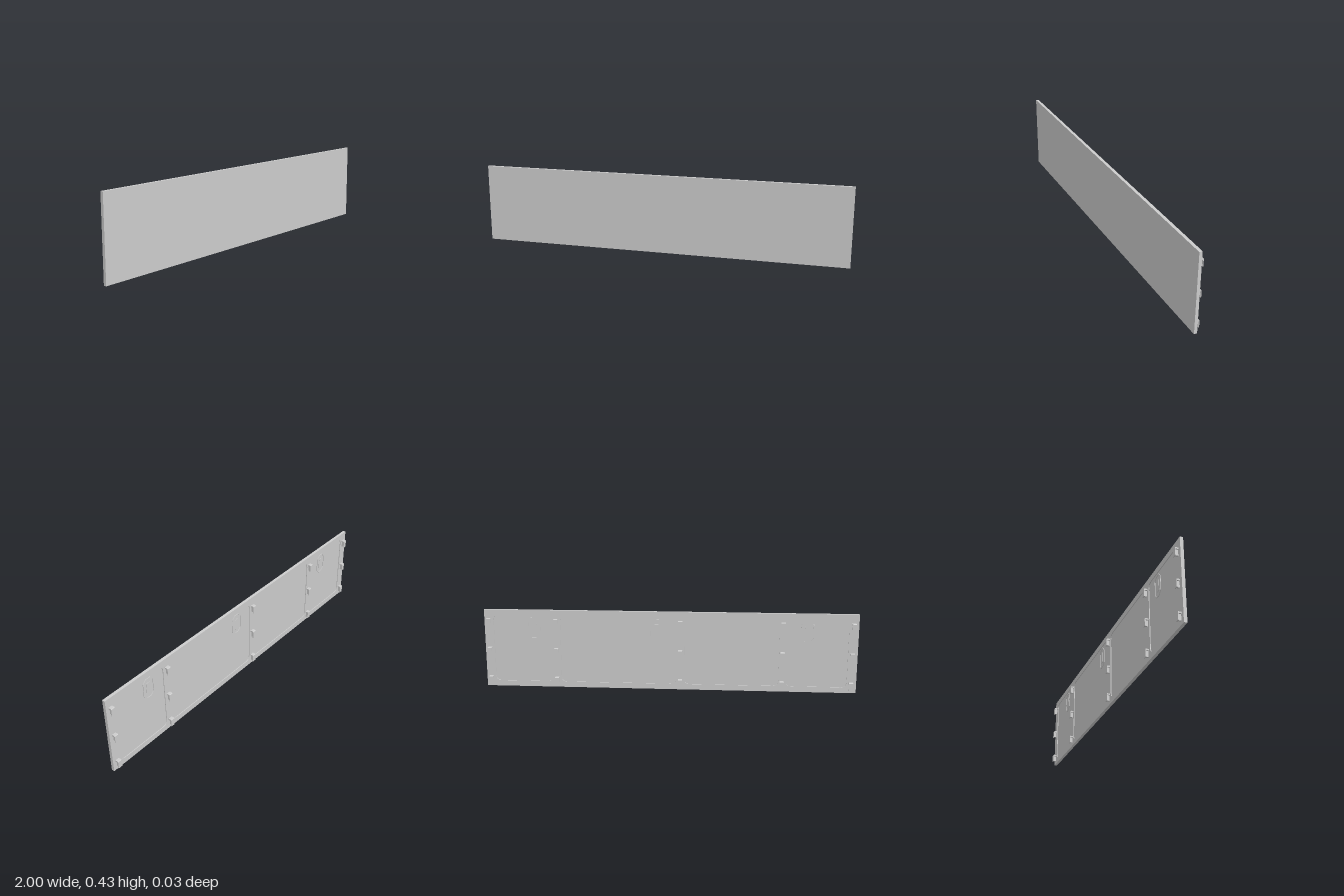
import * as THREE from 'three';

const H = 0.425, FRONT = 0.017, BACK = 0.001, FLOOR = 0.005;
const material = new THREE.MeshStandardMaterial({ color: 0xcccccc, flatShading: true });

function add(parent, name, geometry) {
  const mesh = new THREE.Mesh(geometry, material);
  mesh.name = name;
  parent.add(mesh);
  return mesh;
}

const extrude = (shape, depth) =>
  new THREE.ExtrudeGeometry(shape, { depth, bevelEnabled: false, curveSegments: 4 });

// Rectangle with rounded corners, drawn on any Path or Shape
function roundedRect(path, x0, y0, x1, y1, r) {
  path.moveTo(x0 + r, y0);
  path.lineTo(x1 - r, y0).quadraticCurveTo(x1, y0, x1, y0 + r);
  path.lineTo(x1, y1 - r).quadraticCurveTo(x1, y1, x1 - r, y1);
  path.lineTo(x0 + r, y1).quadraticCurveTo(x0, y1, x0, y1 - r);
  path.lineTo(x0, y0 + r).quadraticCurveTo(x0, y0, x0 + r, y0);
  return path;
}

// Upright octagon with cut corners
function octagon(w, h, cut) {
  const a = w / 2, b = h / 2;
  return [[-a + cut, -b], [a - cut, -b], [a, -b + cut], [a, b - cut],
    [a - cut, b], [-a + cut, b], [-a, b - cut], [-a, -b + cut]]
    .map(([x, y]) => new THREE.Vector2(x, y));
}

// Clip: a side profile (outward from the back, up) extruded across its width
function clipPart(points, width) {
  const shape = new THREE.Shape(points.map(([x, y]) => new THREE.Vector2(x, y)));
  return extrude(shape, width).translate(0, 0, -width / 2).rotateY(Math.PI / 2);
}

export function createModel() {
  const model = new THREE.Group();
  model.name = 'clipOnPanel';

  // Smooth front sheet
  add(model, 'frontSheet', new THREE.BoxGeometry(2, H, FRONT - FLOOR))
    .position.set(0, H / 2, (FRONT + FLOOR) / 2);

  // Raised back frame around four shallow pockets
  const frame = new THREE.Shape();
  frame.moveTo(-1, 0).lineTo(1, 0).lineTo(1, H).lineTo(-1, H).lineTo(-1, 0);
  for (const [x0, x1] of [[-0.95, -0.63], [-0.59, -0.085], [-0.043, 0.585], [0.63, 0.95]]) {
    frame.holes.push(roundedRect(new THREE.Path(), x0, 0.03, x1, H - 0.03, 0.03));
  }
  add(model, 'backFrame', extrude(frame, FLOOR - BACK)).position.z = BACK;

  // Hooked clips: five columns of three
  const hook = clipPart([[-0.001, 0.033], [0.014, 0.033], [0.014, 0], [0.018, 0],
    [0.018, 0.038], [0.0155, 0.041], [-0.001, 0.041]], 0.022);
  const web = clipPart([[-0.001, 0.002], [0.0145, 0.002], [0.0145, 0.034], [-0.001, 0.034]], 0.009);
  for (const x of [-0.972, -0.607, -0.064, 0.607, 0.974]) {
    for (const y of [0.017, 0.177, 0.337]) {
      const clip = new THREE.Group();
      clip.name = 'clip';
      clip.position.set(x, y, BACK);
      add(clip, 'clipHook', hook);
      add(clip, 'clipWeb', web);
      model.add(clip);
    }
  }

  // Plain octagonal raised marks in three pockets
  const ring = new THREE.Shape(octagon(0.07, 0.115, 0.02));
  ring.holes.push(new THREE.Path(octagon(0.06, 0.105, 0.0175)));
  const rim = extrude(ring, 0.003);
  const pad = extrude(roundedRect(new THREE.Shape(), -0.014, -0.03, 0.014, 0.03, 0.006), 0.002);
  for (const x of [-0.735, 0.065, 0.73]) {
    const mark = new THREE.Group();
    mark.name = 'mark';
    mark.position.set(x, 0.327, FLOOR);
    add(mark, 'markRim', rim).position.z = -0.003;
    add(mark, 'markPad', pad).position.z = -0.002;
    model.add(mark);
  }

  return model;
}
